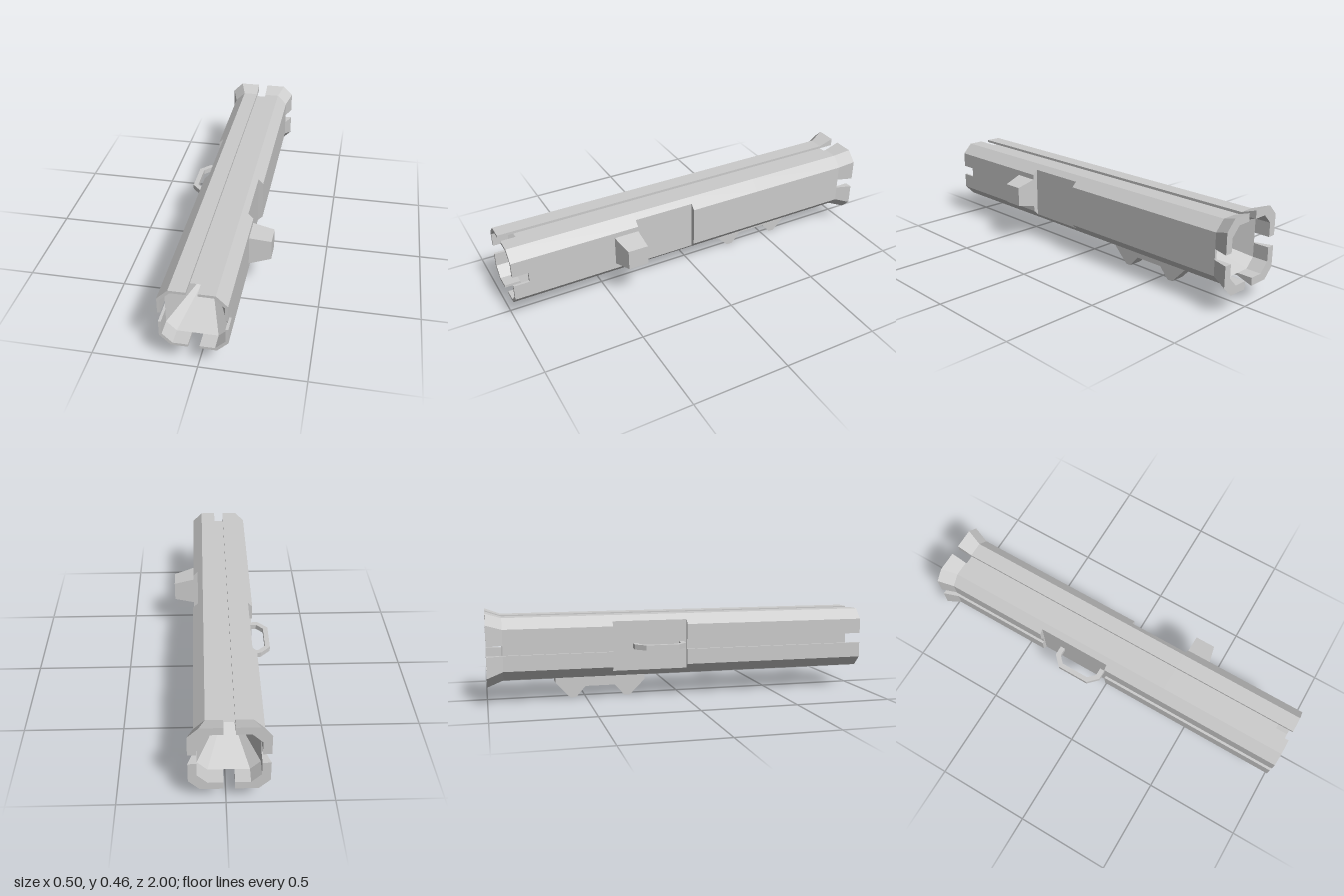
import * as THREE from 'three';

const CX = -0.014, CY = 0.276;      // axis of the tube
const W = 0.026;                    // half width of grooves and slots
const R = 0.157, C = 0.105;         // outer octagon: half size, half flat
const r = 0.144, c = 0.0965;        // inner octagon
const FLARE = 0.027, END = 0.92, CONE = 0.3;

const material = new THREE.MeshStandardMaterial({ color: 0xcccccc, flatShading: true });

function mesh(name, geometry, parent) {
  const m = new THREE.Mesh(geometry, material);
  m.name = name;
  parent.add(m);
  return m;
}

function fromTriangles(tris) {
  const g = new THREE.BufferGeometry();
  g.setAttribute('position', new THREE.Float32BufferAttribute(tris.flat(2), 3));
  g.computeVertexNormals();
  return g;
}

// Skin between two counter-clockwise outlines at z0 < z1
function loft(p0, z0, p1, z1, cap0 = true, cap1 = true) {
  const tris = [], n = p0.length;
  const A = p0.map(p => [...p, z0]), B = p1.map(p => [...p, z1]);
  for (let i = 0; i < n; i++) {
    const j = (i + 1) % n;
    tris.push([A[i], A[j], B[j]], [A[i], B[j], B[i]]);
  }
  const faces = pts => THREE.ShapeUtils.triangulateShape(pts.map(p => new THREE.Vector2(...p)), []);
  if (cap0) faces(p0).forEach(([i, j, k]) => tris.push([A[k], A[j], A[i]]));
  if (cap1) faces(p1).forEach(([i, j, k]) => tris.push([B[i], B[j], B[k]]));
  return fromTriangles(tris);
}

// Corner piece of the shell; limit shaves its side flat
function corner(sx, sy, limit, flare = 0) {
  const Ro = R + flare, Co = C + flare;
  const m = Math.min(Ro, limit), k = Math.min(r, limit);
  const pts = [[m, W], [m, Co + Ro - m], [Co, Ro], [W, Ro], [W, r], [c, r], [k, c + r - k], [k, W]]
    .map(([x, y]) => [sx * x, sy * y]);
  return sx * sy < 0 ? pts.reverse() : pts;
}

// Inner octagon, optionally shaved flat on either side
function octagon(limL = 9, limR = 9) {
  const a = Math.min(r, limL), b = Math.min(r, limR), s = c + r;
  return [[a, -(s - a)], [a, s - a], [c, r], [-c, r], [-b, s - b], [-b, -(s - b)], [-c, -r], [c, -r]];
}

export function createModel() {
  const model = new THREE.Group();
  const tube = new THREE.Group();
  tube.name = 'tube';
  tube.position.set(CX, CY, 0);
  model.add(tube);

  // Lengthwise segments: [z0, z1, left limit, right limit]
  const leftCut = 0.132, rightCut = 0.134;
  const segments = [
    [-END, -0.37, 9, 9],
    [-0.37, 0.02, 9, rightCut],
    [0.02, 0.34, leftCut, 9],
    [0.34, END, 9, 9],
  ];

  // Four shell corners with a flared back end and open slots at both ends
  for (const sx of [1, -1]) for (const sy of [1, -1]) {
    const shell = new THREE.Group();
    shell.name = (sy > 0 ? 'upper' : 'lower') + (sx > 0 ? 'Left' : 'Right') + 'Shell';
    tube.add(shell);
    segments.forEach(([z0, z1, limL, limR], i) => {
      const p = corner(sx, sy, sx > 0 ? limL : limR);
      mesh('shellSegment', loft(p, z0, p, i === 3 ? 1 : z1), shell);
    });
    mesh('flare', loft(corner(sx, sy, 9, FLARE), -1, corner(sx, sy, 9), -END, true, false), shell);
  }

  // Core: groove floors and side recesses
  segments.forEach(([z0, z1, limL, limR], i) => {
    const p = octagon(limL, limR);
    mesh('core', loft(p, z0, p, z1, i > 0, i < 3), tube);
  });

  // Conical hollows in both ends of the core
  for (const s of [1, -1]) {
    const p = octagon().map(q => [...q, s * END]);
    const apex = [0, 0, s * (END - CONE)];
    const tris = p.map((a, i) => {
      const b = p[(i + 1) % 8];
      return s > 0 ? [a, b, apex] : [b, a, apex];
    });
    mesh(s > 0 ? 'frontHollow' : 'backHollow', fromTriangles(tris), tube);
  }

  // The left side has no groove: strips close it
  for (const [z0, z1] of [[-END, 0.02], [0.34, END]]) {
    const strip = mesh('leftStrip', new THREE.BoxGeometry(R - r, 2 * W, z1 - z0), tube);
    strip.position.set((R + r) / 2, 0, (z0 + z1) / 2);
  }

  // Tapered button on the left side
  const rect = (z0, z1, y0, y1) => [[-z1, y0], [-z0, y0], [-z0, y1], [-z1, y1]];
  mesh('sideButton', loft(rect(0.34, 0.47, 0.2, 0.355), 0.14, rect(0.34, 0.445, 0.225, 0.328), 0.25)
    .rotateY(Math.PI / 2), model);

  // Bent handle on the right side
  const outer = [[-0.145, -0.265], [-0.2, -0.265], [-0.25, -0.215], [-0.25, -0.045], [-0.2, 0.005], [-0.145, 0.005]];
  const inner = [[-0.145, -0.02], [-0.19, -0.02], [-0.225, -0.055], [-0.225, -0.205], [-0.19, -0.24], [-0.145, -0.24]];
  const handleShape = new THREE.Shape([...outer, ...inner].map(([x, z]) => new THREE.Vector2(x, -z)));
  const handle = mesh('sideHandle',
    new THREE.ExtrudeGeometry(handleShape, { depth: 0.026, bevelEnabled: false }).rotateX(-Math.PI / 2), model);
  handle.position.y = 0.263;

  // Two-footed rail underneath, keyed into the bottom groove
  const rail = [[-0.2, 0.12], [-0.185, 0.107], [-0.185, 0.08], [-0.265, 0], [-0.295, 0], [-0.345, 0.057],
    [-0.5, 0.057], [-0.55, 0], [-0.58, 0], [-0.655, 0.08], [-0.655, 0.107], [-0.64, 0.12]];
  const railShape = new THREE.Shape(rail.map(([z, y]) => new THREE.Vector2(-z, y)));
  const railMesh = mesh('bottomRail',
    new THREE.ExtrudeGeometry(railShape, { depth: 0.078, bevelEnabled: false }).rotateY(Math.PI / 2), model);
  railMesh.position.x = -0.053;
  const key = mesh('railKey', new THREE.BoxGeometry(2 * W, 0.016, 0.44), model);
  key.position.set(CX, 0.126, -0.42);

  return model;
}
